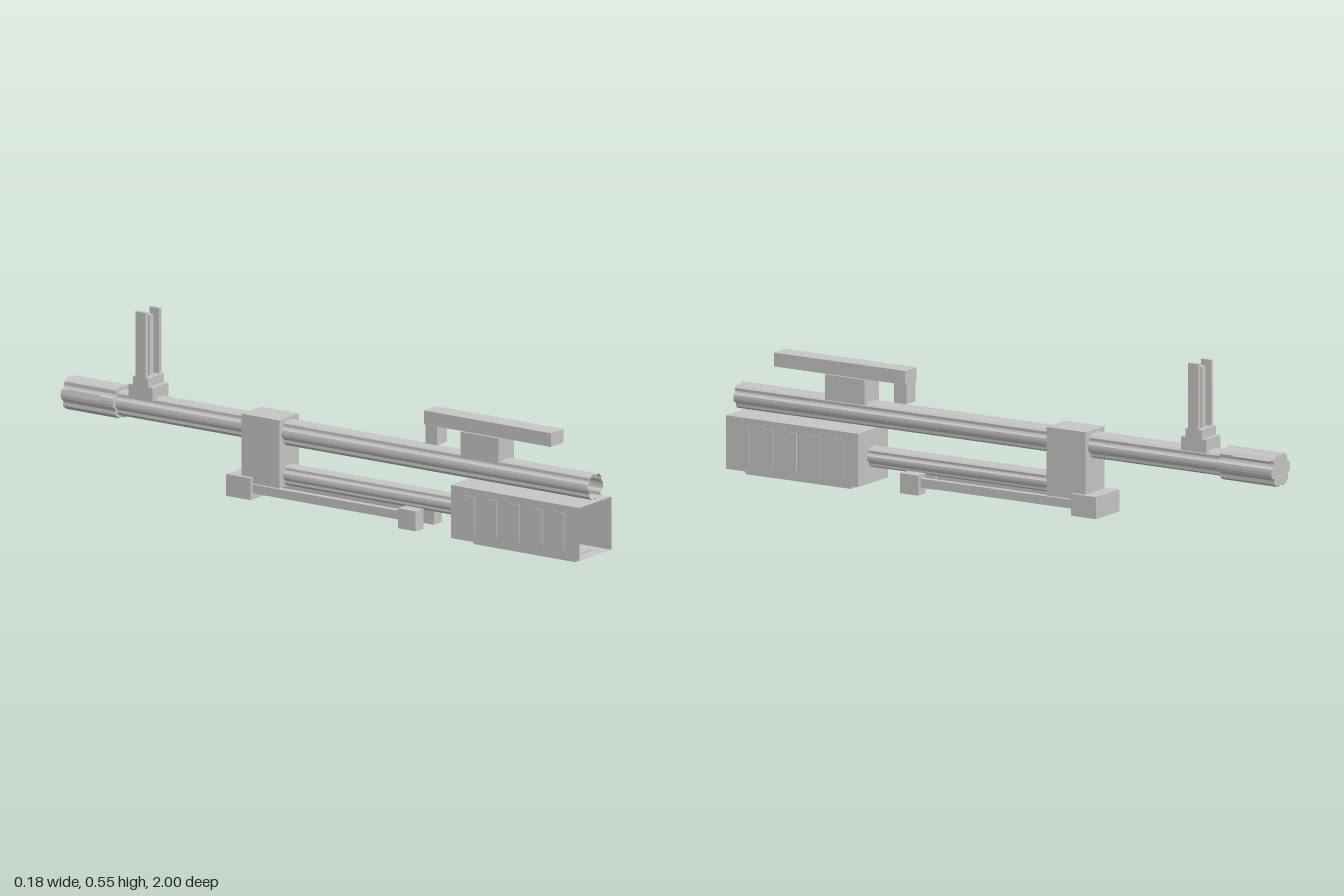
import * as THREE from 'three';

export function createModel() {
  const model = new THREE.Group();
  const grey = new THREE.MeshStandardMaterial({ color: 0xc6c6c6, flatShading: true, side: THREE.DoubleSide });
  grey.name = 'light grey';

  const add = (name, geometry) => {
    const mesh = new THREE.Mesh(geometry, grey);
    mesh.name = name;
    model.add(mesh);
    return mesh;
  };
  // Box given by its limits along each axis
  const box = (name, x0, x1, y0, y1, z0, z1) => {
    const mesh = add(name, new THREE.BoxGeometry(x1 - x0, y1 - y0, z1 - z0));
    mesh.position.set((x0 + x1) / 2, (y0 + y1) / 2, (z0 + z1) / 2);
    return mesh;
  };
  // Fluted rod along z: 36 sides, with six grooves pulled in to the inner radius
  const flutedRod = (name, r, inner, y, z0, z1, open) => {
    const geometry = new THREE.CylinderGeometry(r, r, z1 - z0, 36, 1, open);
    const pos = geometry.attributes.position;
    for (let i = 0; i < pos.count; i++) {
      const step = (Math.round((Math.atan2(pos.getX(i), pos.getZ(i)) * 18) / Math.PI) + 36) % 6;
      const k = step === 0 || step === 5 ? inner / r : 1;
      pos.setX(i, pos.getX(i) * k);
      pos.setZ(i, pos.getZ(i) * k);
    }
    geometry.rotateX(Math.PI / 2);
    geometry.computeVertexNormals();
    add(name, geometry).position.set(0, y, (z0 + z1) / 2);
  };

  // Open barrel and gas tube, closed muzzle
  flutedRod('barrel', 0.042, 0.036, 0.24, -0.82, 1, true);
  flutedRod('gasTube', 0.034, 0.029, 0.104, -0.18, 0.51, true);
  flutedRod('muzzle', 0.054, 0.046, 0.242, -1, -0.8, false);
  for (let i = 0; i < 3; i++) {
    const a = Math.PI / 4 + (i * Math.PI * 2) / 3;
    const slot = add('muzzleSlot', new THREE.BoxGeometry(0.016, 0.018, 0.13));
    slot.position.set(Math.cos(a) * 0.047, 0.242 + Math.sin(a) * 0.047, -0.92);
    slot.rotation.z = a;
  }

  // Handguard: hollow box, open at the front
  const shell = new THREE.BoxGeometry(0.171, 0.17, 0.49);
  shell.setIndex(Array.from(shell.index.array).filter((_, i) => i < 24 || i >= 30));
  shell.clearGroups();
  add('handguard', shell).position.set(0, 0.105, 0.755);
  box('handguardBottomRail', -0.042, 0.042, 0, 0.025, 0.565, 0.955);
  for (const s of [-1, 1]) {
    for (let i = 0; i < 5; i++) {
      const vent = add('vent', new THREE.BoxGeometry(0.003, 0.12, 0.036));
      vent.position.set(s * 0.087, 0.105, 0.582 + i * 0.0865);
    }
  }

  // Carrying handle
  box('handleMount', -0.042, 0.042, 0.272, 0.353, 0.515, 0.66);
  box('handleBar', -0.033, 0.033, 0.353, 0.397, 0.37, 0.855);
  box('handleDrop', -0.026, 0.026, 0.29, 0.353, 0.37, 0.415);

  // Gas block and folded bipod
  box('gasBlock', -0.053, 0.053, 0.07, 0.288, -0.312, -0.167);
  box('bipodPivot', -0.067, 0.067, 0.02, 0.09, -0.36, -0.267);
  for (const s of [-1, 1]) {
    const leg = box('bipodLeg', -0.01, 0.01, 0.04, 0.068, -0.27, 0.31);
    leg.position.x = s * 0.047;
    const foot = box('bipodFoot', -0.0205, 0.0205, 0.016, 0.08, 0.297, 0.365);
    foot.position.x = s * 0.0495;
  }

  // Sight tower
  box('sightBase', -0.042, 0.042, 0.272, 0.315, -0.75, -0.658);
  box('sightStep', -0.042, 0.042, 0.315, 0.343, -0.733, -0.675);
  box('sightPost', -0.01, 0.01, 0.343, 0.537, -0.715, -0.692);
  for (const s of [-1, 1]) {
    const wing = box('sightWing', -0.0065, 0.0065, 0.343, 0.552, -0.722, -0.685);
    wing.position.x = s * 0.0365;
  }
  return model;
}
